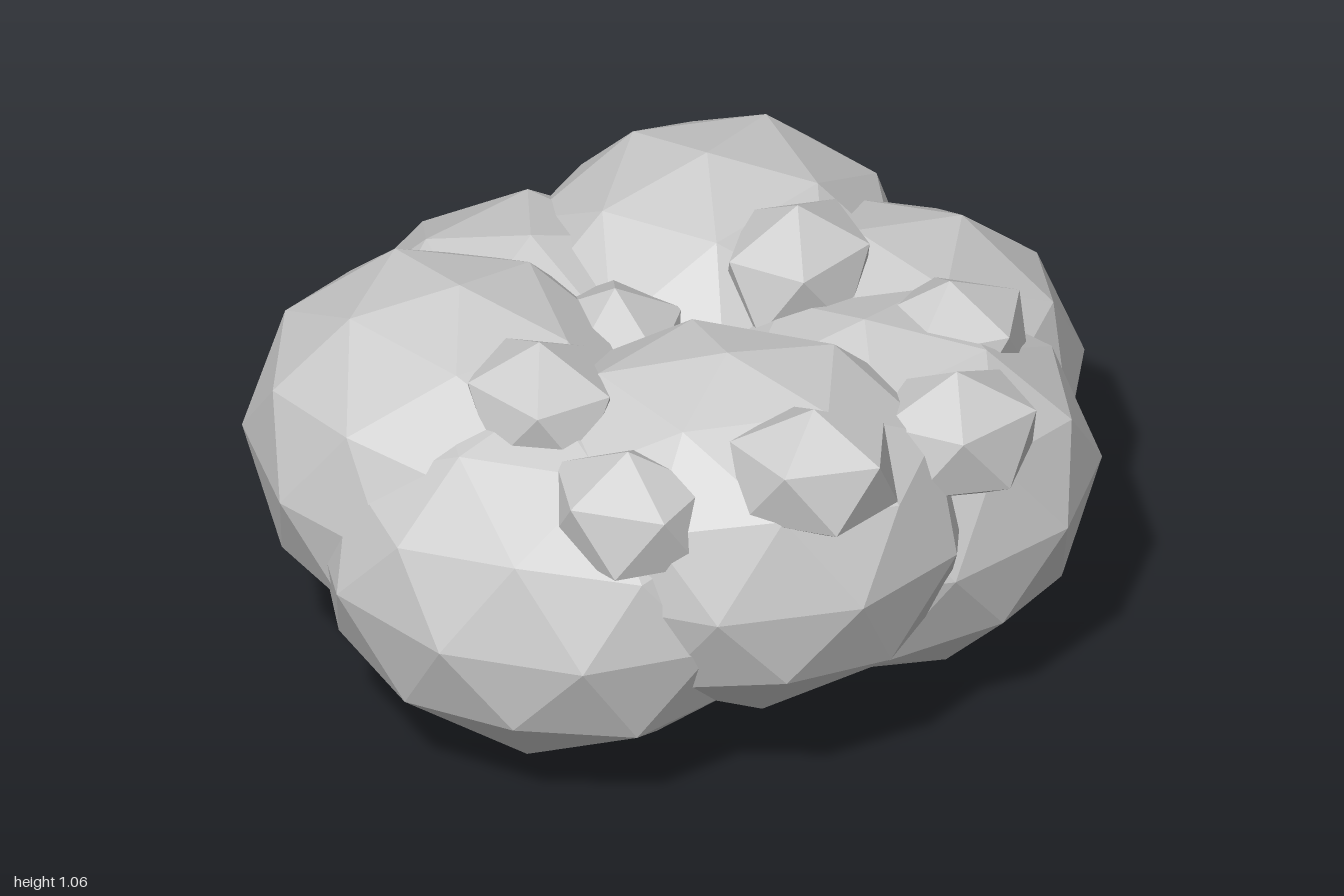
import * as THREE from 'three';

const COUNT = 7;
const YAW_STEP = 0.5;

// Faceted ball with a corner pointing straight up
function facetedBall(detail) {
  const g = new THREE.IcosahedronGeometry(1, detail);
  g.rotateZ(-Math.atan(2 / (1 + Math.sqrt(5))));
  g.computeVertexNormals();
  return g;
}

// Point i on an oval ring; every second point is raised
function ringPoint(i, { x, z, rx, rz, low, high }) {
  const a = (i / COUNT) * Math.PI * 2;
  return new THREE.Vector3(x + rx * Math.cos(a), i % 2 ? high : low, z - rz * Math.sin(a));
}

const LEAF_RING = { x: -0.05, z: 0, rx: 0.512, rz: 0.41, low: 0.48, high: 0.59 };
const BERRY_RING = { x: -0.037, z: 0.335, rx: 0.532, rz: 0.415, low: 0.78, high: 0.885 };

export function createModel() {
  const model = new THREE.Group();
  model.name = 'bush';
  const grey = new THREE.MeshStandardMaterial({ color: 0xcccccc });
  grey.name = 'pale grey';
  grey.flatShading = true;

  const leafBall = facetedBall(1);
  const berryBall = facetedBall(0);
  const root = new THREE.Vector3(-0.05, 0.018, 0);
  const up = new THREE.Vector3(0, 1, 0);

  const add = (geometry, name, position) => {
    const mesh = new THREE.Mesh(geometry, grey);
    mesh.name = name;
    mesh.position.copy(position);
    model.add(mesh);
    return mesh;
  };

  for (let i = 0; i < COUNT; i++) {
    // Big foliage clump
    const p = ringPoint(i, LEAF_RING);
    const leaf = add(leafBall, 'foliageClump', p);
    leaf.scale.set(0.56, 0.44, 0.475);
    leaf.rotation.y = i * YAW_STEP;

    // Small berry on top
    const berry = add(berryBall, 'berry', ringPoint(i, BERRY_RING));
    berry.scale.set(0.215, 0.17, 0.182);
    berry.rotation.y = i * YAW_STEP;

    // Branch from the root into the clump
    const dir = p.clone().sub(root);
    const length = dir.length();
    const branch = add(new THREE.CylinderGeometry(0.022, 0.025, length, 6), 'branch',
      root.clone().add(p).multiplyScalar(0.5));
    branch.quaternion.setFromUnitVectors(up, dir.divideScalar(length));
  }
  return model;
}
